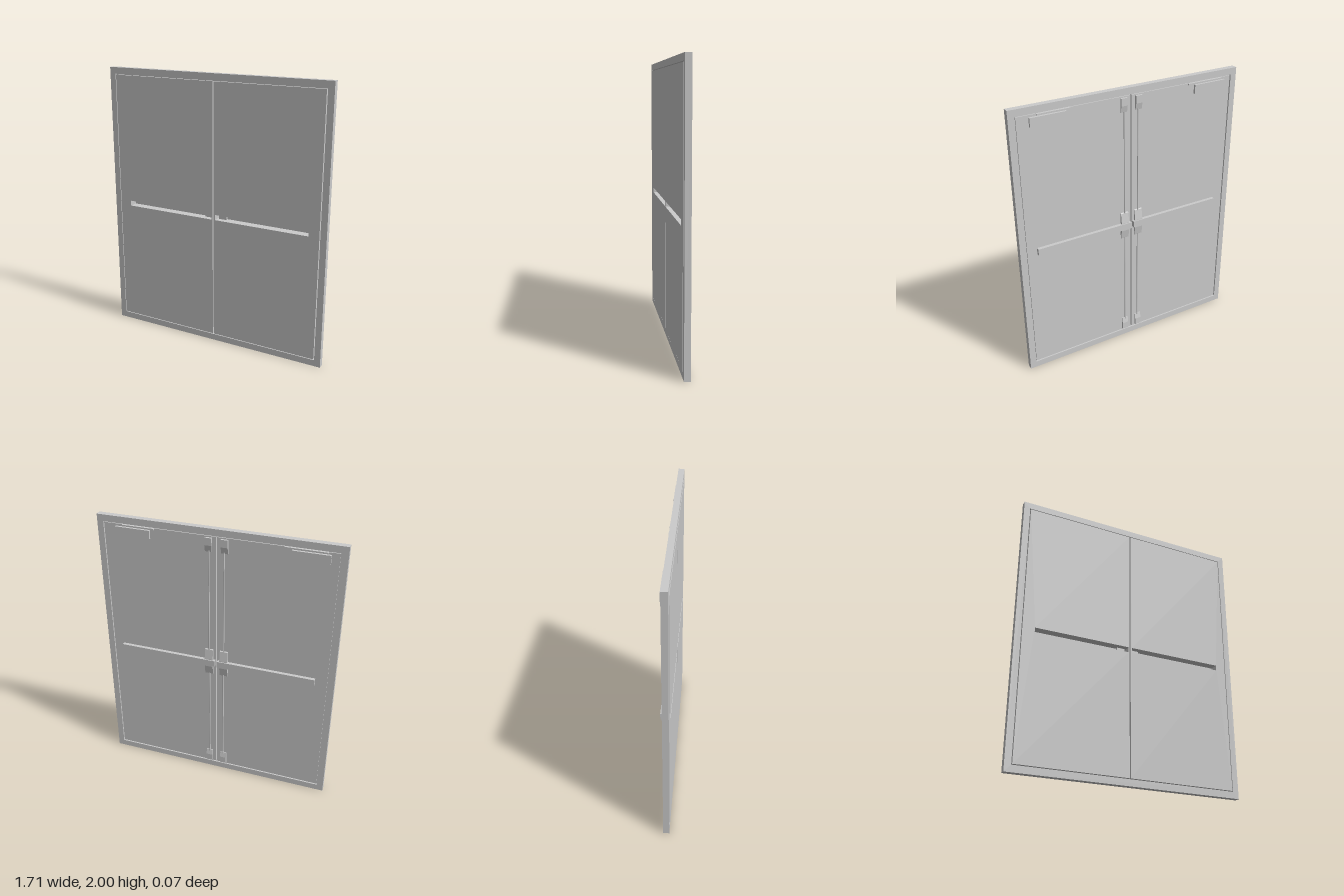
import * as THREE from 'three';

const material = new THREE.MeshStandardMaterial({ color: 0xcccccc, flatShading: true });
const smooth = new THREE.MeshStandardMaterial({ color: 0xcccccc });

const trace = (path, x0, x1, y0, y1) =>
  path.moveTo(x0, y0).lineTo(x1, y0).lineTo(x1, y1).lineTo(x0, y1).closePath();

// Rectangular plate with an optional rectangular hole, spanning z0..z1
function plate(name, rect, hole, z0, z1) {
  const shape = new THREE.Shape();
  trace(shape, ...rect);
  if (hole) {
    const path = new THREE.Path();
    trace(path, ...hole);
    shape.holes.push(path);
  }
  const geometry = new THREE.ExtrudeGeometry(shape, { depth: z1 - z0, bevelEnabled: false });
  geometry.translate(0, 0, z0);
  const mesh = new THREE.Mesh(geometry, material);
  mesh.name = name;
  return mesh;
}

// Housing with a side profile of [depth behind the door, y], spanning x0..x1
function housing(name, profile, x0, x1) {
  const shape = new THREE.Shape(profile.map(([d, y]) => new THREE.Vector2(d, y)));
  const geometry = new THREE.ExtrudeGeometry(shape, { depth: x1 - x0, bevelEnabled: false });
  geometry.rotateY(Math.PI / 2); // profile depth now runs towards -z
  geometry.translate(x0, 0, DOOR_BACK);
  const mesh = new THREE.Mesh(geometry, material);
  mesh.name = name;
  return mesh;
}

const DOOR_BACK = -0.008;
const DOOR_FRONT = 0.033;

// Rectangle on one side: s = 1 is the model's left, s = -1 its right
const sided = (s, a, b, y0, y1) => (s > 0 ? [a, b, y0, y1] : [-b, -a, y0, y1]);

function createLeaf(s) {
  const leaf = new THREE.Group();
  leaf.name = s > 0 ? 'leftDoor' : 'rightDoor';
  const barEnd = s > 0 ? 0.732 : 0.72;

  // Door panel with the slot behind the push bar
  const slot = sided(s, 0.013, barEnd - 0.004, 0.963, 1.002);
  leaf.add(plate('doorPanel', sided(s, 0.004, 0.804, 0.053, 1.947), slot, DOOR_BACK, DOOR_FRONT));

  // Hollow push bar
  const bar = sided(s, 0.009, barEnd, 0.959, 1.006);
  leaf.add(plate('pushBarWalls', bar, slot, -0.03, DOOR_BACK));
  leaf.add(plate('pushBarFace', bar, null, -0.033, -0.03));

  // Central latch case
  const [c0, c1] = sided(s, 0.025, 0.085);
  leaf.add(housing('latchCase',
    [[0, 0.88], [0.007, 0.885], [0.018, 0.95], [0.018, 1.01], [0.007, 1.085], [0, 1.09]], c0, c1));

  // Top and bottom bolt covers
  const [b0, b1] = sided(s, 0.032, 0.08);
  leaf.add(housing('topBoltCover',
    [[0, 1.84], [0.005, 1.84], [0.014, 1.885], [0.014, 1.938], [0, 1.938]], b0, b1));
  leaf.add(housing('bottomBoltCover',
    [[0, 0.062], [0.014, 0.062], [0.014, 0.115], [0.005, 0.16], [0, 0.16]], b0, b1));

  // Vertical rods between the latch case and the bolts
  for (const [y0, y1] of [[0.15, 0.89], [1.08, 1.85]]) {
    const rod = new THREE.Mesh(new THREE.CylinderGeometry(0.005, 0.005, y1 - y0, 12), smooth);
    rod.name = 'verticalRod';
    rod.position.set(s * 0.053, (y0 + y1) / 2, DOOR_BACK - 0.005);
    leaf.add(rod);
  }

  // Door closer with its arm plate
  const [k0, k1] = s > 0 ? [0.47, 0.72] : [-0.75, -0.5];
  leaf.add(plate('closerBody', [k0, k1, 1.87, 1.932], null, -0.024, DOOR_BACK));
  const a0 = k0 - (s > 0 ? 0.03 : -0.02);
  const a1 = k1 + (s > 0 ? -0.05 : 0.05);
  leaf.add(plate('closerArm', [a0, a1, 1.937, 1.947], null, -0.018, DOOR_BACK));
  return leaf;
}

export function createModel() {
  const model = new THREE.Group();
  model.name = 'doubleDoor';

  // Surrounding frame and the seal closing the gap around the doors
  model.add(plate('frame', [-0.855, 0.855, 0, 2], [-0.81, 0.81, 0.047, 1.953], -0.012, 0.031));
  model.add(plate('seal', [-0.81, 0.81, 0.047, 1.953], [-0.803, 0.803, 0.054, 1.946], 0, 0.012));

  for (const s of [1, -1]) model.add(createLeaf(s));
  return model;
}
